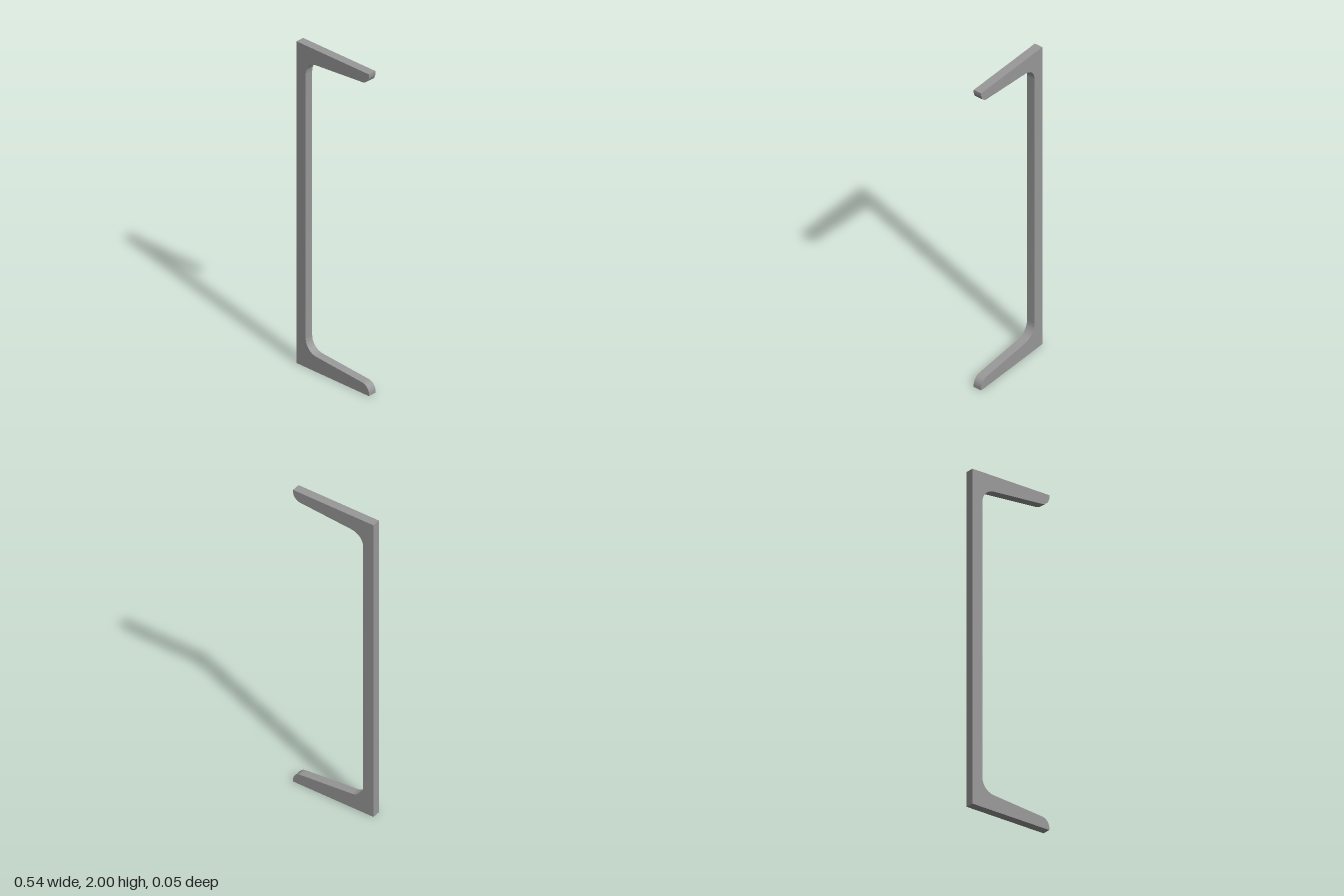
import * as THREE from 'three';
import { toCreasedNormals } from 'three/addons/utils/BufferGeometryUtils.js';

const HALF_WIDTH = 0.268, HEIGHT = 2, DEPTH = 0.052;
const WEB_X = -0.2;         // inner face of the web
const SLOPE = 0.08;         // taper of the inner flange faces
const FILLET = 0.085, TOE = 0.055;

// Inner face height of the lower flange
const flangeY = (x) => 0.067 + SLOPE * (0.215 - x);

// Points along an arc
function arc(cx, cy, r, from, to, steps = 14) {
  return Array.from({ length: steps + 1 }, (_, i) => {
    const a = from + (to - from) * i / steps;
    return new THREE.Vector2(cx + r * Math.cos(a), cy + r * Math.sin(a));
  });
}

export function createModel() {
  const steel = new THREE.MeshStandardMaterial({ color: 0x999999 });
  steel.name = 'steel grey';

  // Lower half: outer corner, rounded toe, tapered flange, root fillet
  const tilt = Math.atan(SLOPE);
  const toeX = HALF_WIDTH - TOE, rootX = WEB_X + FILLET;
  const toeY = flangeY(toeX) - TOE / Math.cos(tilt);
  const rootY = flangeY(rootX) + FILLET / Math.cos(tilt);
  const lower = [
    new THREE.Vector2(-HALF_WIDTH, 0),
    new THREE.Vector2(HALF_WIDTH, 0),
    ...arc(toeX, toeY, TOE, 0, Math.PI / 2 - tilt),
    ...arc(rootX, rootY, FILLET, Math.PI * 1.5 - tilt, Math.PI),
  ];
  // Upper half mirrors the lower one
  const upper = lower.map((p) => new THREE.Vector2(p.x, HEIGHT - p.y)).reverse();

  const profile = new THREE.Shape([...lower, ...upper]);
  const geometry = new THREE.ExtrudeGeometry(profile, { depth: DEPTH, bevelEnabled: false });
  geometry.translate(0, 0, -DEPTH / 2);

  const channel = new THREE.Mesh(toCreasedNormals(geometry, Math.PI / 6), steel);
  channel.name = 'channelSection';

  const group = new THREE.Group();
  group.name = 'channelBeam';
  group.add(channel);
  return group;
}
